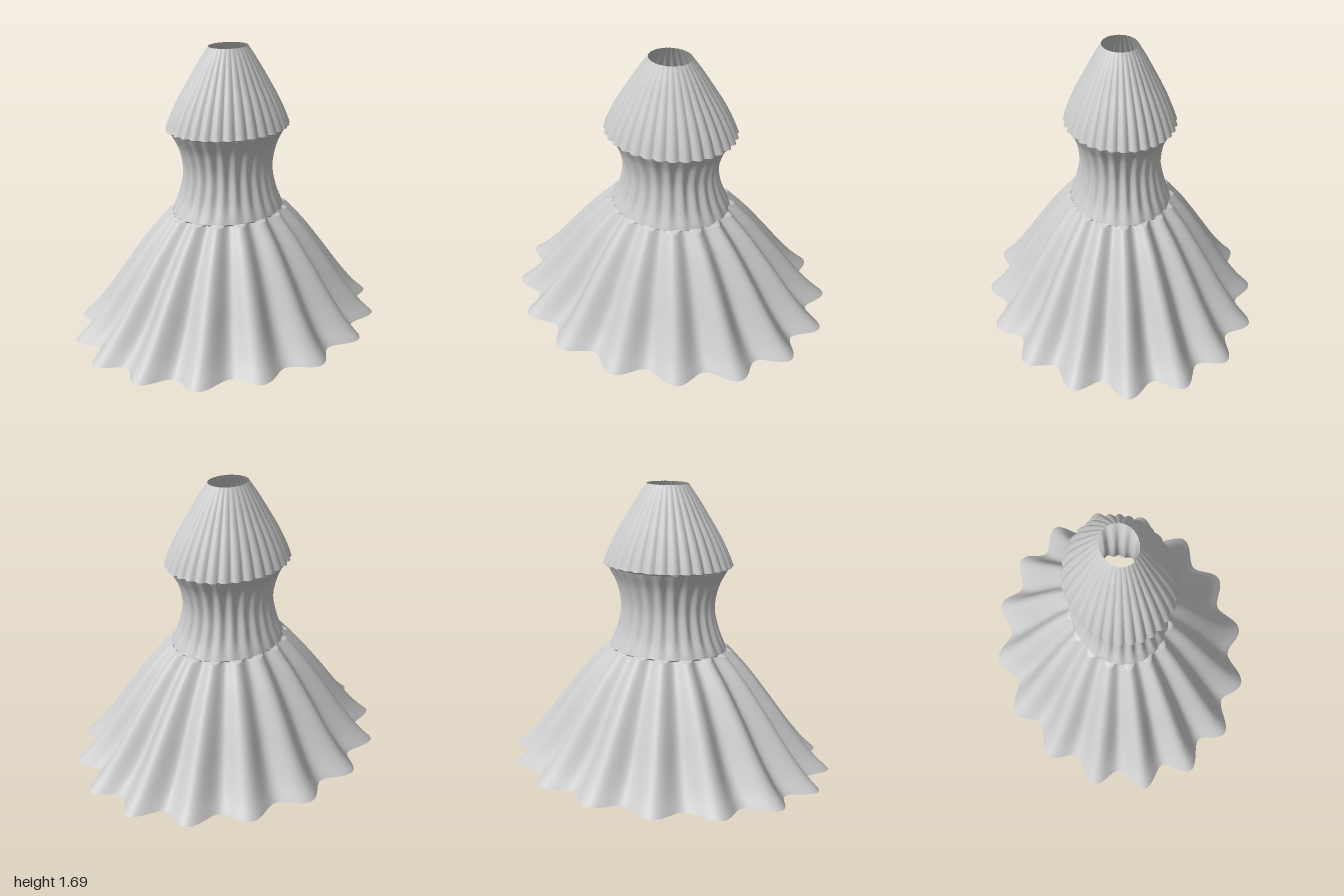
import * as THREE from 'three';

const DEPTH = 0.83;                          // oval cross-section: z radius / x radius
const SEGMENTS = 384;

const material = new THREE.MeshStandardMaterial({ color: 0xcccccc, side: THREE.DoubleSide });

// Fold shapes around the oval, each from -1 to 1
const rad = THREE.MathUtils.degToRad;
const broadFolds = t => Math.cos(16 * (t - rad(5)));
const flutes = t => Math.cos(24 * (t - rad(1)));
const scallops = t => 2 * Math.abs(Math.cos(16 * (t - rad(5)))) - 1;

// Pleated oval shell. Each profile point is [radius, y, fold depth].
function pleatedShell(name, profile, fold, rows) {
  const curve = new THREE.CatmullRomCurve3(profile.map(p => new THREE.Vector3(...p)));
  const positions = [], indices = [];
  for (let i = 0; i <= rows; i++) {
    const p = curve.getPoint(i / rows);
    for (let j = 0; j < SEGMENTS; j++) {
      const t = (j / SEGMENTS) * Math.PI * 2;
      const r = p.x + p.z * fold(t);
      positions.push(r * Math.cos(t), p.y, DEPTH * r * Math.sin(t));
      if (i < rows) {
        const a = i * SEGMENTS + j, b = i * SEGMENTS + (j + 1) % SEGMENTS;
        indices.push(a, a + SEGMENTS, b, b, a + SEGMENTS, b + SEGMENTS);
      }
    }
  }
  const geometry = new THREE.BufferGeometry();
  geometry.setAttribute('position', new THREE.Float32BufferAttribute(positions, 3));
  geometry.setIndex(indices);
  geometry.computeVertexNormals();
  const mesh = new THREE.Mesh(geometry, material);
  mesh.name = name;
  return mesh;
}

export function createModel() {
  const group = new THREE.Group();
  group.name = 'pleatedShade';

  // Wide flared skirt, open at the hem
  group.add(pleatedShell('skirt', [
    [0.945, 0, 0.06], [0.86, 0.08, 0.057], [0.76, 0.2, 0.052],
    [0.618, 0.4, 0.04], [0.49, 0.57, 0.031], [0.37, 0.708, 0.023],
  ], broadFolds, 32));

  // Thin step between skirt and waist, overhanging the skirt's valleys
  group.add(pleatedShell('skirtLedge', [[0.37, 0.708, 0.023], [0.36, 0.718, 0]], broadFolds, 2));

  // Fluted, drawn-in waist
  group.add(pleatedShell('waist', [
    [0.36, 0.718, 0.003], [0.309, 0.83, 0.008], [0.282, 0.97, 0.008],
    [0.306, 1.1, 0.008], [0.367, 1.21, 0.004],
  ], flutes, 28));

  // Underside of the cap
  group.add(pleatedShell('capLedge', [[0.367, 1.21, 0], [0.388, 1.222, 0.01]], scallops, 2));

  // Finely scalloped cap with an open top
  group.add(pleatedShell('cap', [
    [0.388, 1.222, 0.01], [0.356, 1.3, 0.009], [0.306, 1.4, 0.007],
    [0.247, 1.5, 0.005], [0.186, 1.6, 0.003], [0.125, 1.69, 0.001],
  ], scallops, 24));

  return group;
}
